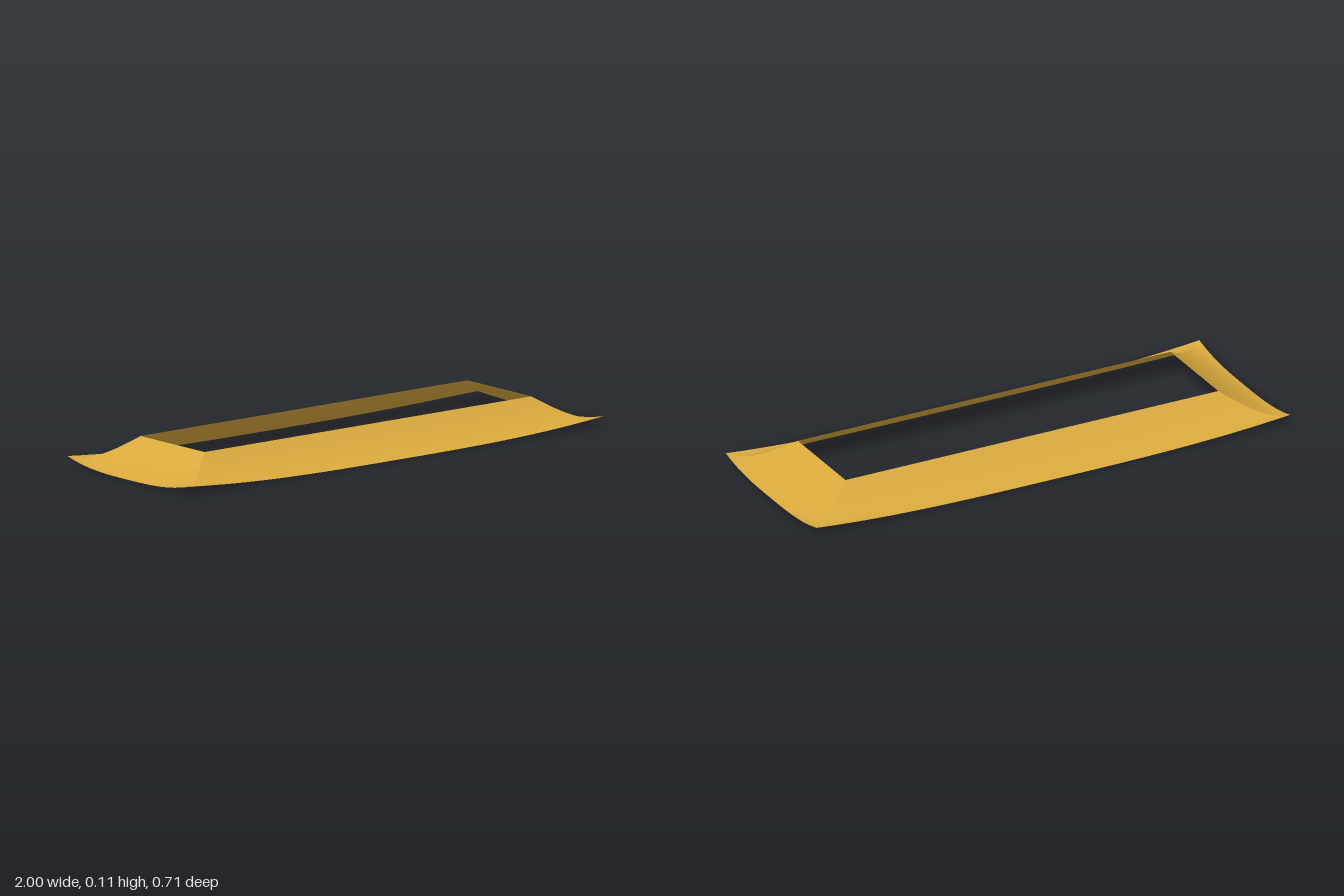
import * as THREE from 'three';

const OUTER = { x: 1, z: 0.356 };   // eave half sizes
const INNER = { x: 0.787, z: 0.187 }; // top opening half sizes
const HEIGHT = 0.108, LIFT = 0.033;

// One concave slope: t runs from eave to top, s runs from corner to corner
function slope(halfEave, halfTop, outEave, outTop, columns) {
  const rows = 20;
  const geometry = new THREE.PlaneGeometry(1, 1, columns, rows);
  const p = geometry.attributes.position;
  for (let i = 0; i < p.count; i++) {
    const s = p.getX(i) * 2, t = p.getY(i) + 0.5;
    const rise = HEIGHT * Math.pow(t, 1.4);
    const upturn = LIFT * Math.pow(1 - t, 4) * Math.pow(Math.abs(s), 3);
    p.setXYZ(i,
      s * THREE.MathUtils.lerp(halfEave, halfTop, t),
      rise + upturn,
      THREE.MathUtils.lerp(outEave, outTop, t));
  }
  geometry.computeVertexNormals();
  return geometry;
}

export function createModel() {
  const group = new THREE.Group();
  group.name = 'skirtRoof';
  const gold = new THREE.MeshStandardMaterial({ color: 0xd9a93c, side: THREE.DoubleSide });
  gold.name = 'golden roof';

  const longSide = slope(OUTER.x, INNER.x, OUTER.z, INNER.z, 64);
  const shortSide = slope(OUTER.z, INNER.z, OUTER.x, INNER.x, 32);

  // Four slopes meeting at the hips around the open centre
  ['frontSlope', 'leftSlope', 'backSlope', 'rightSlope'].forEach((name, i) => {
    const mesh = new THREE.Mesh(i % 2 ? shortSide : longSide, gold);
    mesh.name = name;
    mesh.rotation.y = i * Math.PI / 2;
    group.add(mesh);
  });
  return group;
}
